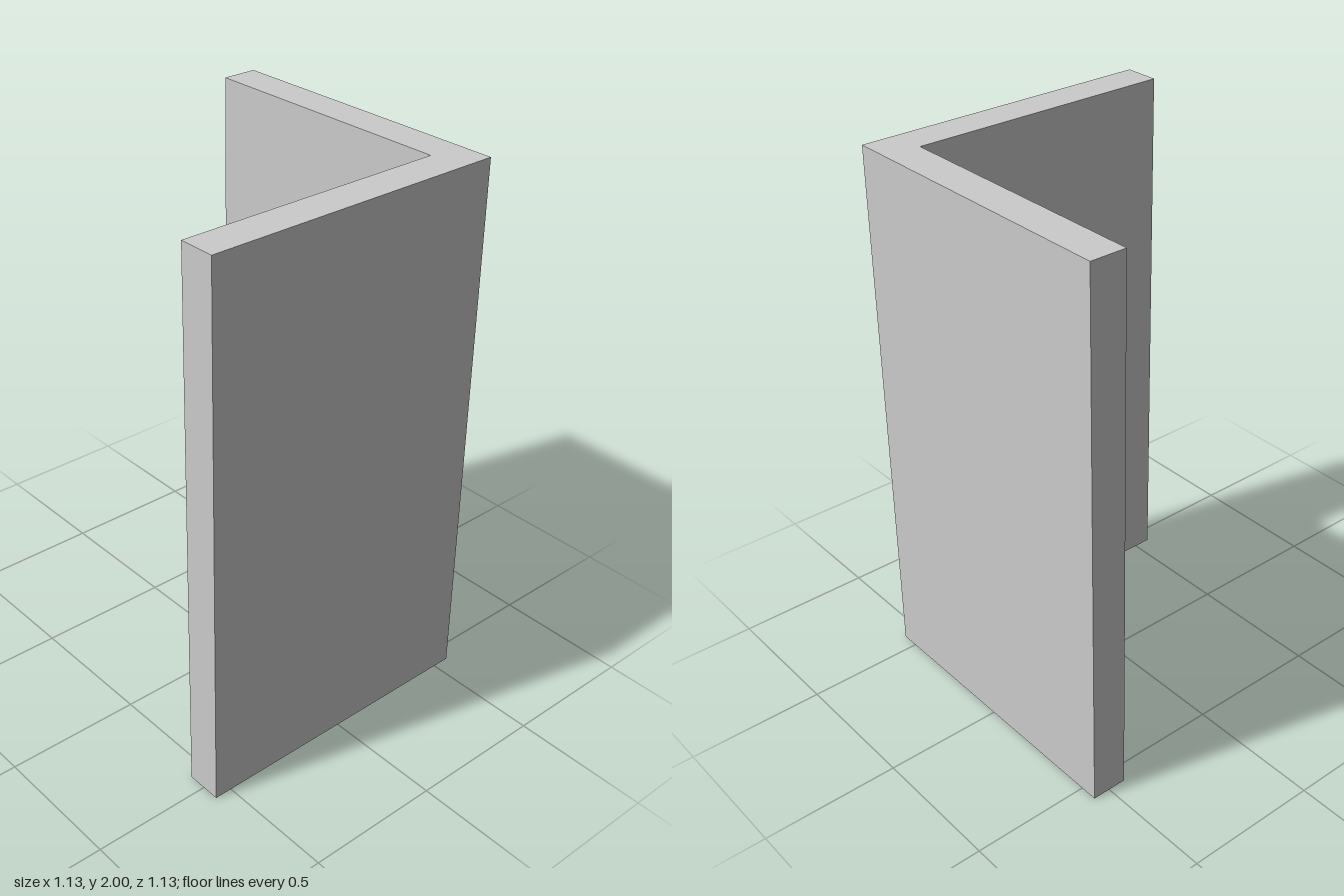
import * as THREE from 'three';

const HALF = 0.565;   // half of the outer width and depth
const INNER = 0.433;  // inner face of both walls
const HEIGHT = 2;

export function createModel() {
  const group = new THREE.Group();
  group.name = 'cornerWall';

  // L-shaped plan (shape y is -z), extruded upwards
  const plan = new THREE.Shape([
    [-HALF, -HALF], [HALF, -HALF], [HALF, HALF],
    [INNER, HALF], [INNER, -INNER], [-HALF, -INNER],
  ].map(([x, y]) => new THREE.Vector2(x, y)));
  const geometry = new THREE.ExtrudeGeometry(plan, { depth: HEIGHT, bevelEnabled: false });
  geometry.rotateX(-Math.PI / 2);

  const walls = new THREE.Mesh(
    geometry,
    new THREE.MeshStandardMaterial({ color: 0xcccccc, flatShading: true }),
  );
  walls.name = 'cornerWalls';
  group.add(walls);
  return group;
}
